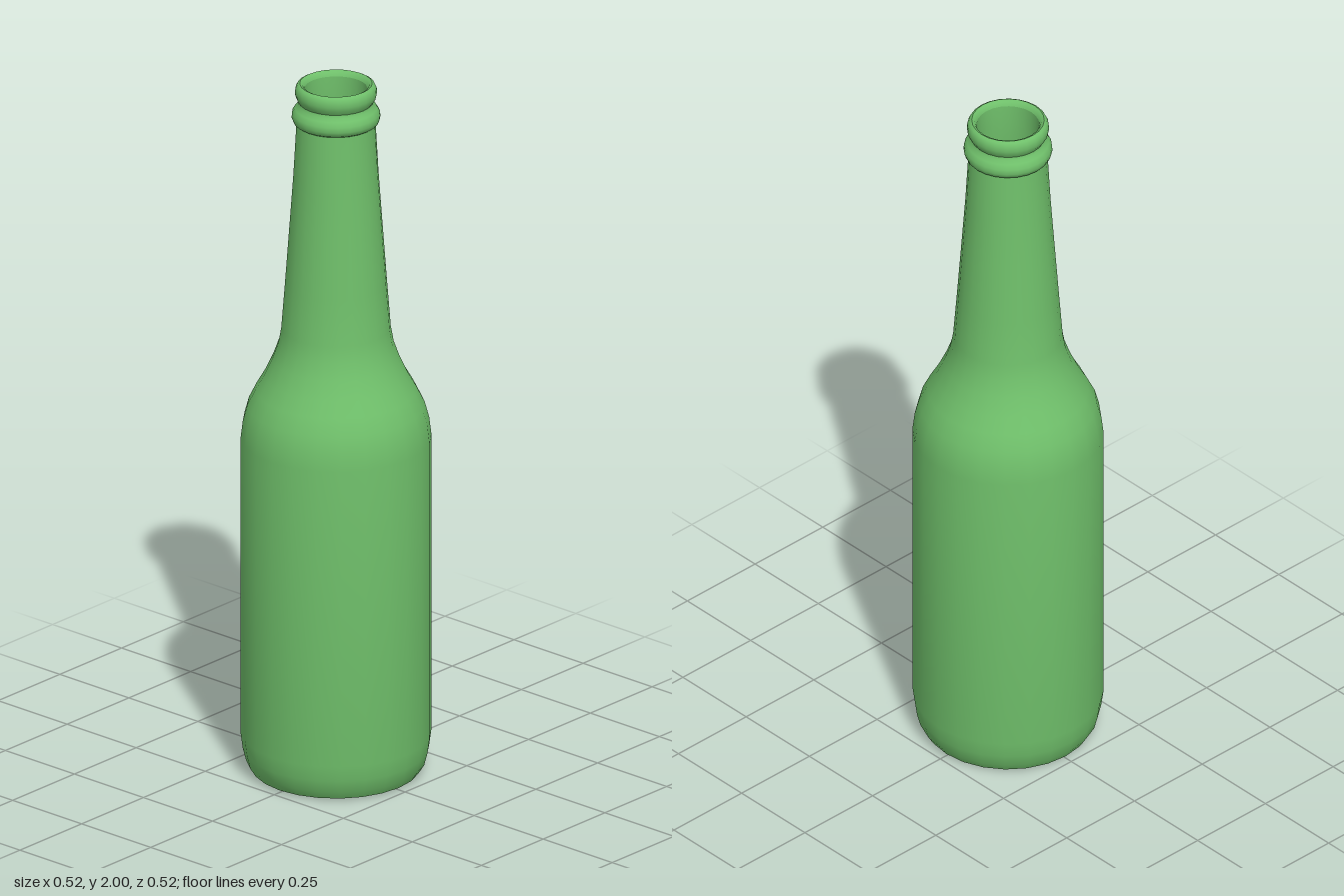
import * as THREE from 'three';
import { toCreasedNormals } from 'three/addons/utils/BufferGeometryUtils.js';

const SEGMENTS = 24;
const glass = new THREE.MeshStandardMaterial({ color: 0x6fbf6a });

// Spins a list of [radius, height] points around the y axis
function turned(name, profile) {
  const points = profile.map(([r, y]) => new THREE.Vector2(r, y));
  const geometry = toCreasedNormals(new THREE.LatheGeometry(points, SEGMENTS), 0.75);
  const mesh = new THREE.Mesh(geometry, glass);
  mesh.name = name;
  return mesh;
}

export function createModel() {
  const bottle = new THREE.Group();
  bottle.name = 'bottle';

  // Outside: base, straight body, shoulder and tapering neck
  bottle.add(turned('outerBody', [
    [0, 0.01], [0.19, 0.01], [0.205, 0], [0.228, 0.006], [0.243, 0.03], [0.252, 0.065], [0.258, 0.11],
    [0.258, 0.97], [0.252, 1.02], [0.24, 1.065], [0.218, 1.11], [0.195, 1.15], [0.172, 1.2],
    [0.156, 1.245], [0.148, 1.29], [0.138, 1.42], [0.125, 1.6], [0.115, 1.74], [0.107, 1.885],
  ]));

  // Collar ring and rounded lip around the mouth
  bottle.add(turned('collarAndLip', [
    [0.107, 1.885], [0.115, 1.89], [0.12, 1.903], [0.119, 1.917], [0.111, 1.93],
    [0.102, 1.938], [0.1, 1.947], [0.108, 1.96], [0.111, 1.972], [0.11, 1.986],
    [0.105, 1.996], [0.098, 2], [0.09, 1.996], [0.085, 1.985],
  ]));

  // Inside wall, from the mouth down to the floor
  bottle.add(turned('innerWall', [
    [0.085, 1.985], [0.084, 1.93], [0.088, 1.88], [0.106, 1.6], [0.128, 1.29], [0.137, 1.245],
    [0.153, 1.195], [0.177, 1.14], [0.199, 1.1], [0.22, 1.055], [0.232, 1.01], [0.237, 0.97],
    [0.237, 0.11], [0.23, 0.07], [0.212, 0.04], [0.19, 0.032], [0, 0.032],
  ]));

  return bottle;
}
